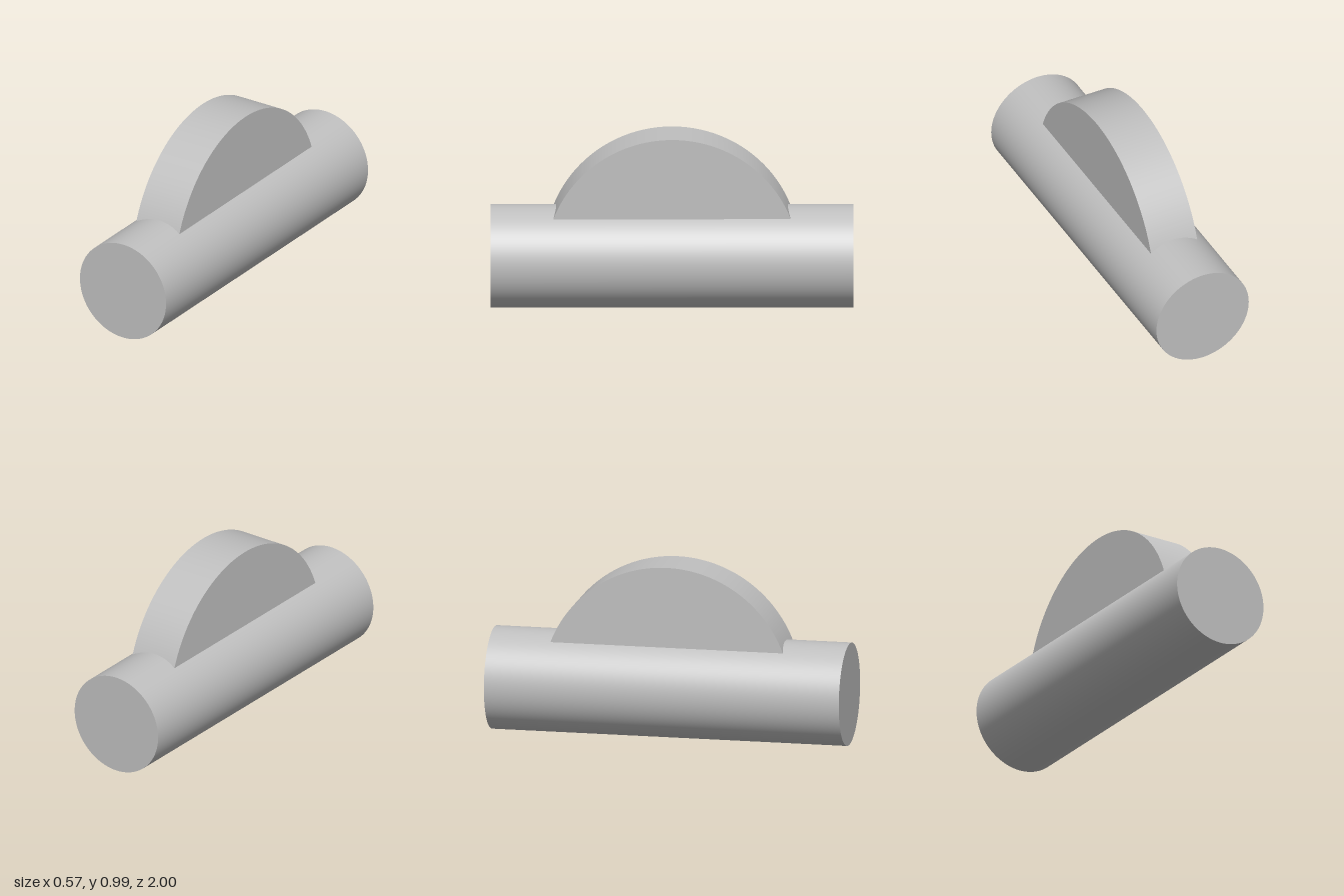
import * as THREE from 'three';
import { toCreasedNormals } from 'three/addons/utils/BufferGeometryUtils.js';

export function createModel() {
  const model = new THREE.Group();
  model.name = 'cylinderWithFin';
  const grey = new THREE.MeshStandardMaterial({ color: 0xbfbfbf });
  grey.name = 'grey';

  const bodyRadius = 0.2857;
  const finRadius = 0.7;
  const finWidth = 0.2857;

  // Long round body lying along z
  const bodyGeometry = new THREE.CylinderGeometry(bodyRadius, bodyRadius, 2, 128);
  bodyGeometry.rotateX(Math.PI / 2);
  const body = new THREE.Mesh(bodyGeometry, grey);
  body.name = 'body';
  body.position.y = bodyRadius;
  model.add(body);

  // Fin: a disc segment concentric with the body, its chord just sunk into it
  const chordHeight = Math.sqrt(bodyRadius ** 2 - (finWidth / 2) ** 2) - 0.003;
  const start = Math.asin(chordHeight / finRadius);
  const profile = new THREE.Shape();
  profile.absarc(0, 0, finRadius, start, Math.PI - start, false);
  profile.closePath();
  const finGeometry = new THREE.ExtrudeGeometry(profile, {
    depth: finWidth, bevelEnabled: false, curveSegments: 80,
  });
  finGeometry.translate(0, 0, -finWidth / 2);
  finGeometry.rotateY(Math.PI / 2);
  const fin = new THREE.Mesh(toCreasedNormals(finGeometry, 0.5), grey);
  fin.name = 'fin';
  fin.position.y = bodyRadius;
  model.add(fin);

  return model;
}
